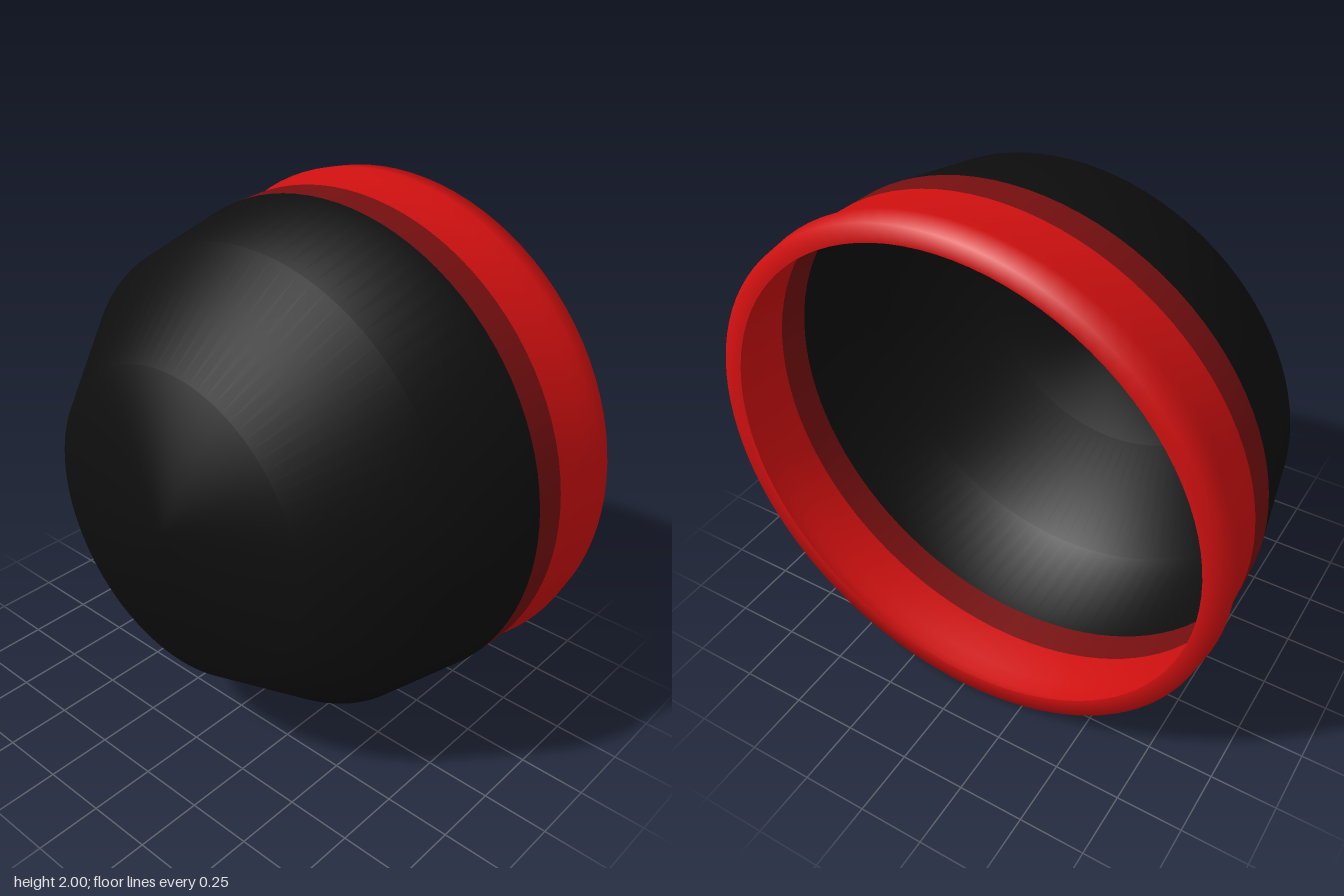
import * as THREE from 'three';

// One colour of the shell: each profile point is [position along x, radius].
function ring(name, profile, material) {
  const points = profile.map(([x, r]) => new THREE.Vector2(r, x));
  const geometry = new THREE.LatheGeometry(points, 96);
  geometry.rotateZ(-Math.PI / 2); // lathe axis onto +x
  const mesh = new THREE.Mesh(geometry, material);
  mesh.name = name;
  return mesh;
}

function paint(name, color) {
  const material = new THREE.MeshStandardMaterial({ color, side: THREE.DoubleSide });
  material.name = name;
  return material;
}

export function createModel() {
  const black = paint('black', 0x0e0e0e);
  const darkRed = paint('dark red', 0x760f10);
  const red = paint('red', 0xd01010);

  const model = new THREE.Group();
  model.name = 'cup';
  model.add(
    // rounded closed end
    ring('bowl', [[-0.615, 0], [-0.562, 0.582], [-0.18, 0.893], [0.205, 0.97]], black),
    // narrow stripe
    ring('band', [[0.205, 0.97], [0.328, 0.975]], darkRed),
    // flared collar with a lip turned inward
    ring('rim', [[0.328, 0.975], [0.475, 0.98], [0.53, 1], [0.615, 0.99], [0.612, 0.923]], red)
  );
  model.position.y = 1;
  return model;
}
